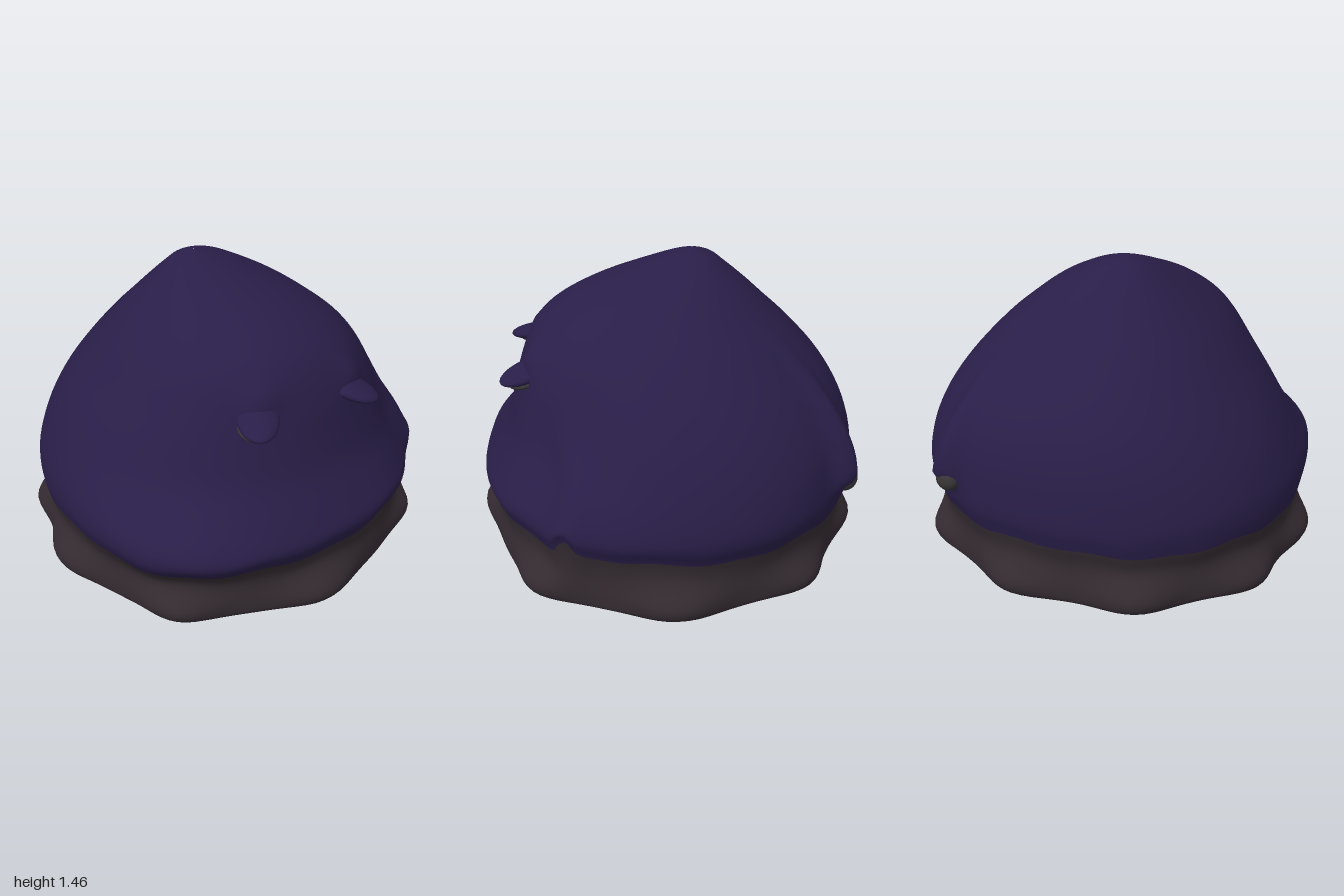
import * as THREE from 'three';

const SEG = 144, STEPS = 4;
// Cross-section extents by height: [y, +x, -x, +z, -z]
const ROWS = [
  [0.00, 0.92, -0.91, 0.89, -0.89],
  [0.03, 0.96, -0.96, 0.94, -0.94],
  [0.10, 0.97, -0.97, 0.95, -0.95],
  [0.21, 0.93, -0.92, 0.90, -0.91],
  [0.31, 0.94, -0.94, 0.915, -0.93],
  [0.40, 0.975, -0.95, 0.94, -0.95],
  [0.50, 0.965, -0.93, 0.89, -0.945],
  [0.65, 0.91, -0.86, 0.81, -0.92],
  [0.80, 0.83, -0.77, 0.765, -0.86],
  [0.95, 0.72, -0.66, 0.725, -0.76],
  [1.10, 0.58, -0.55, 0.66, -0.62],
  [1.20, 0.46, -0.46, 0.56, -0.51],
  [1.30, 0.32, -0.35, 0.37, -0.40],
  [1.38, 0.17, -0.25, 0.14, -0.30],
  [1.43, 0.05, -0.17, -0.02, -0.23],
  [1.455, -0.078, -0.082, -0.13, -0.134],
];
const HEM_ROW = 4, HEM_Y = ROWS[HEM_ROW][0];
// Directions of the skirt's bulges, in degrees from +x toward +z
const BULGES = [0, 42, 92, 135, 178, 210, 248, 281, 320];
const curves = [1, 2, 3, 4].map(
  (c) => new THREE.SplineCurve(ROWS.map((r) => new THREE.Vector2(r[0], r[c]))));

const { degToRad: deg, smoothstep } = THREE.MathUtils;
const bell = (v, centre, width) => Math.exp(-(((v - centre) / width) ** 2));
const angleBell = (a, centre, width) => {
  const d = a - deg(centre);
  return bell(Math.atan2(Math.sin(d), Math.cos(d)), 0, deg(width));
};

// Surface point at angle a and profile position t
function surfacePoint(a, t) {
  const [px, nx, pz, nz] = curves.map((c) => c.getPoint(t));
  const y = px.x, c = Math.cos(a), s = Math.sin(a), power = 2 / 2.15;
  let x = (px.y + nx.y) / 2 + ((px.y - nx.y) / 2) * Math.sign(c) * Math.abs(c) ** power;
  let z = (pz.y + nz.y) / 2 + ((pz.y - nz.y) / 2) * Math.sign(s) * Math.abs(s) ** power;
  // scalloped skirt edge
  const scallop = BULGES.reduce((sum, b) => sum + angleBell(a, b, 11), 0);
  let out = (0.08 * scallop - 0.05) * bell(y, 0.08, 0.1);
  // full lower corner of the cloak at the front right
  out += angleBell(a, 132, 26) * 0.1 * bell(y, 0.43, 0.16);
  // side fold with a hollow in front of it and a dip above
  const fold = 31 + 8 * smoothstep(y, 0.4, 0.9);
  out += angleBell(a, fold, 6) * (0.035 * bell(y, 0.28, 0.14) + 0.025 * bell(y, 0.6, 0.2));
  out -= angleBell(a, fold + 14, 9) * 0.025 * bell(y, 0.6, 0.25);
  out -= angleBell(a, 34, 17) * 0.035 * bell(y, 0.82, 0.22);
  // brows above the eyes
  out += (angleBell(a, 68, 8) + angleBell(a, 112, 8)) * 0.03 * bell(y, 1.03, 0.07);
  // rear ridge growing toward its lower tip
  out += angleBell(a, -56, 5) * 0.085 * smoothstep(y, 0.42, 0.54)
    * (1 - smoothstep(y, 0.55, 1.25));
  x += out * c;
  z += out * s;
  // uneven hem
  const lift = 0.008 * Math.sin(7 * a) + 0.006 * Math.sin(17 * a) + 0.09 * angleBell(a, 31, 3);
  return [x, y + lift * bell(y, HEM_Y, 0.13) * Math.min(1, y / 0.05), z];
}

function bodyGeometry() {
  const rings = (ROWS.length - 1) * STEPS, pos = [], index = [];
  for (let j = 0; j <= rings; j++)
    for (let i = 0; i < SEG; i++)
      pos.push(...surfacePoint((i / SEG) * Math.PI * 2, j / rings));
  for (let j = 0; j < rings; j++)
    for (let i = 0; i < SEG; i++) {
      const n = (i + 1) % SEG;
      const a = j * SEG + i, b = j * SEG + n, c = a + SEG, d = b + SEG;
      index.push(a, c, b, b, c, d);
    }
  const g = new THREE.BufferGeometry();
  g.setAttribute('position', new THREE.Float32BufferAttribute(pos, 3));
  g.setIndex(index);
  const split = HEM_ROW * STEPS * SEG * 6;
  g.addGroup(0, split, 0);
  g.addGroup(split, index.length - split, 1);
  g.computeVertexNormals();
  return g;
}

function baseGeometry() {
  const g = new THREE.CircleGeometry(1, SEG).rotateX(Math.PI / 2);
  const p = g.attributes.position;
  for (let i = 1; i < p.count; i++)
    p.setXYZ(i, ...surfacePoint(Math.atan2(p.getZ(i), p.getX(i)), 0));
  return g;
}

export function createModel() {
  const material = (name, color) => {
    const m = new THREE.MeshStandardMaterial({ color });
    m.name = name;
    return m;
  };
  const purple = material('dark purple', 0x291e48);
  const brown = material('dark brown', 0x342b31);
  const grey = material('dark grey', 0x363233);
  const model = new THREE.Group();
  model.name = 'hoodedMound';

  const add = (parent, name, geometry, mat) => {
    const mesh = new THREE.Mesh(geometry, mat);
    mesh.name = name;
    parent.add(mesh);
    return mesh;
  };
  add(model, 'cloakAndSkirt', bodyGeometry(), [brown, purple]);
  add(model, 'base', baseGeometry(), brown);

  // Ellipsoid helper for the lids and tips
  const blob = (parent, name, mat, at, radii, turn = [0, 0, 0]) => {
    const m = add(parent, name, new THREE.SphereGeometry(1, 24, 16), mat);
    m.position.set(...at);
    m.scale.set(...radii);
    m.rotation.set(...turn);
  };

  // Hooded lids with dark undersides
  for (const side of [-1, 1]) {
    const eye = new THREE.Group();
    eye.name = side > 0 ? 'leftEye' : 'rightEye';
    blob(eye, 'lid', purple, [side * 0.258, 0.962, 0.67], [0.095, 0.036, 0.15],
      [0.26, side * 0.5, side * -0.15]);
    blob(eye, 'lidUnderside', grey, [side * 0.29, 0.925, 0.68], [0.07, 0.022, 0.085],
      [0.2, side * 0.4, side * -0.05]);
    model.add(eye);
  }

  // Tip of the rear ridge
  blob(model, 'rearTip', grey, [0.56, 0.495, -0.83], [0.075, 0.05, 0.05], [0, -0.6, 0]);
  return model;
}
